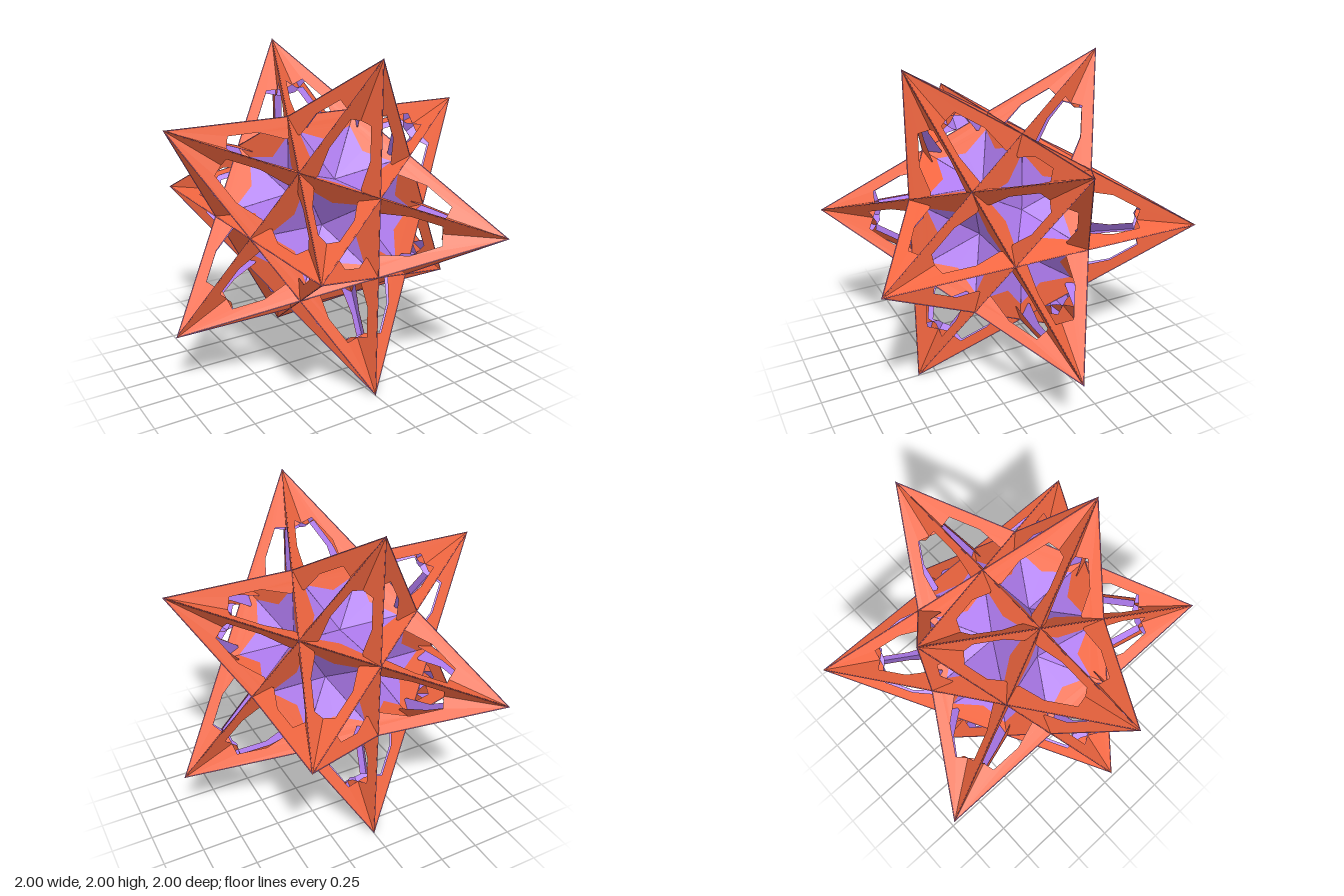
import * as THREE from 'three';

const G = (Math.sqrt(5) - 1) / 2;      // 0.618
const INRADIUS = 1 / Math.sqrt(3);     // of a triangle with sides of 2
const GAP = 0.003;                     // between a frame and its lining

// Wedge in the middle of a side, as (along the side, inward from it)
const WEDGE = [[-0.178, 0.1], [0, 0.168], [0.178, 0.1]];
// Inner rim of the frame along one side, ending in the notch at the corner
const RIM = [[-0.635, 0.073], [-0.44, 0.073], [-0.27, 0.133], ...WEDGE,
  [0.27, 0.133], [0.44, 0.073], [0.635, 0.073], [0.67, 0.33 * INRADIUS]];
// Sunken panel reaching from the wedge towards the middle of the face
const PANEL = [...WEDGE, [0, 0.409]];

// Moves points of one side onto side k of the triangle
function onSide(points, k) {
  const centre = new THREE.Vector2();
  return points.map(([s, h]) =>
    new THREE.Vector2(s, h - INRADIUS).rotateAround(centre, k * 2 * Math.PI / 3));
}

const aroundTriangle = points => [0, 1, 2].flatMap(k => onSide(points, k));

export function createModel() {
  const model = new THREE.Group();
  model.name = 'piercedStar';
  const sheet = color => new THREE.MeshStandardMaterial({ color, flatShading: true, side: THREE.DoubleSide });
  const orange = sheet(0xf26640);
  const purple = sheet(0xb07cf0);

  // One face: a triangular frame, the lining on its back and three sunken panels
  const frameShape = new THREE.Shape(aroundTriangle([[-1, 0]]));
  frameShape.holes.push(new THREE.Path(aroundTriangle(RIM)));
  const frame = new THREE.ShapeGeometry(frameShape);
  const lining = frame.clone().rotateY(Math.PI).translate(0, 0, -GAP);
  const panels = new THREE.ShapeGeometry([0, 1, 2].map(k => new THREE.Shape(onSide(PANEL, k))));
  const parts = [['frame', frame, orange], ['lining', lining, purple], ['panels', panels, purple]];

  // Twelve tips of the star
  const tips = [];
  for (const a of [1, -1]) for (const b of [1, -1]) {
    tips.push(new THREE.Vector3(a, b * G, 0), new THREE.Vector3(0, a, b * G), new THREE.Vector3(b * G, 0, a));
  }

  // Twenty crossing faces, one for every three tips that lie 2 apart
  const linked = (p, q) => Math.abs(p.distanceTo(q) - 2) < 0.01;
  tips.forEach((a, i) => tips.slice(i + 1).forEach((b, j) => tips.slice(i + j + 2).forEach(c => {
    if (!linked(a, b) || !linked(b, c) || !linked(a, c)) return;
    const centre = a.clone().add(b).add(c).divideScalar(3);
    const z = centre.clone().normalize();
    const y = c.clone().sub(centre).normalize();
    const face = new THREE.Group();
    face.name = 'starFace';
    face.quaternion.setFromRotationMatrix(new THREE.Matrix4().makeBasis(y.clone().cross(z), y, z));
    face.position.copy(centre);
    for (const [name, geometry, material] of parts) {
      const mesh = new THREE.Mesh(geometry, material);
      mesh.name = name;
      face.add(mesh);
    }
    model.add(face);
  })));

  model.position.y = 1;
  return model;
}
